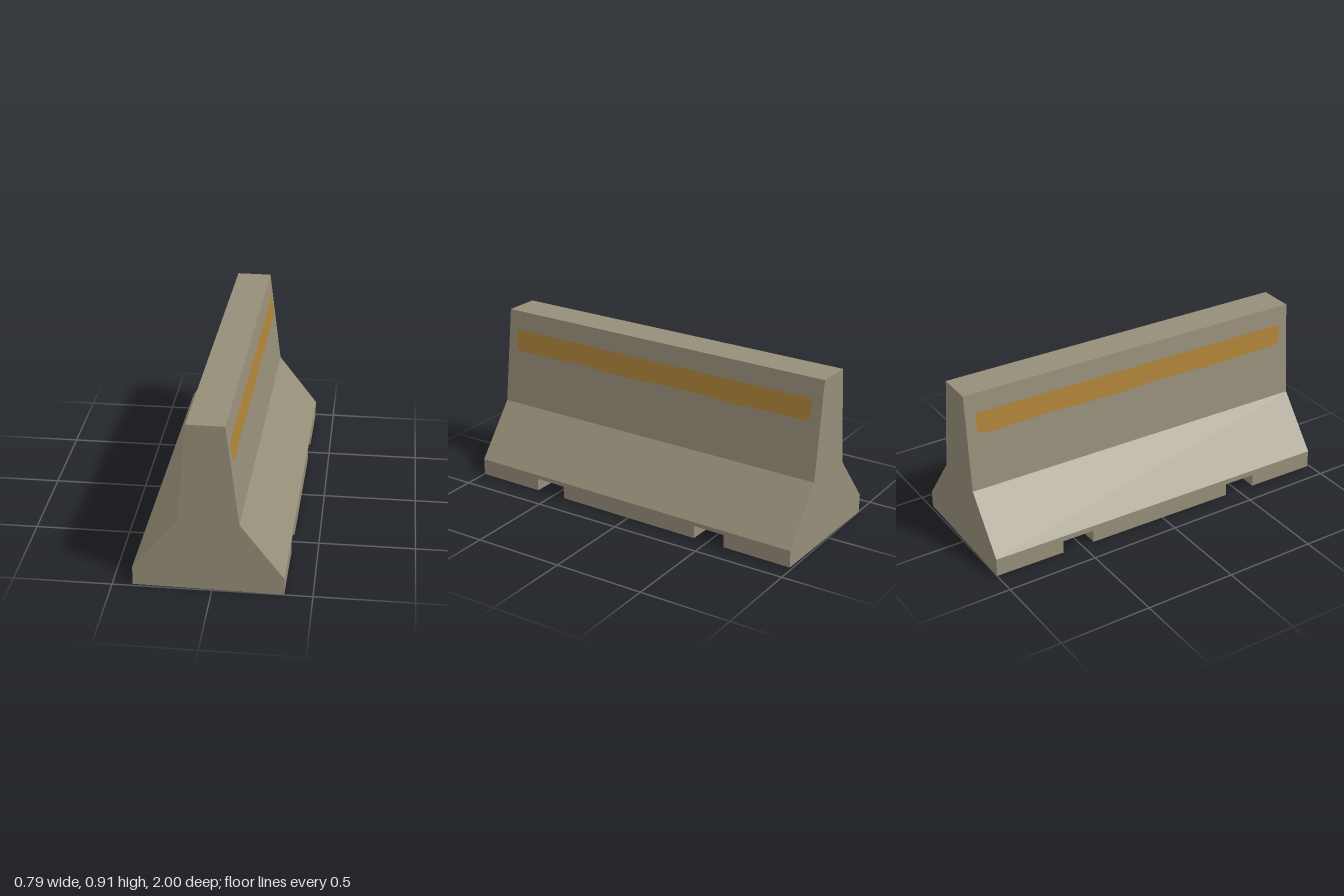
import * as THREE from 'three';

const HALF = 0.993;              // half the barrier's length
const TOP = 0.907, WAIST = 0.38; // heights
const NOTCH = { near: 0.425, far: 0.605, height: 0.07 };

// Half profiles for each flank: outer x at base, waist and top
const FLANKS = [
  { side: 1, base: 0.375, baseY: 0.092, waist: 0.153, top: 0.086 },
  { side: -1, base: 0.381, baseY: 0.1, waist: 0.151, top: 0.104 },
];

const polygon = (pts) => new THREE.Shape(pts.map(([x, y]) => new THREE.Vector2(x, y)));
const band = (y0, y1) => polygon([[-HALF, y0], [HALF, y0], [HALF, y1], [-HALF, y1]]);

// Lays a flat (length, height) shape against a flank; xAt gives its distance from the middle
function flankSheet(shape, side, xAt) {
  const geo = new THREE.ShapeGeometry(shape, 8);
  const p = geo.attributes.position;
  for (let i = 0; i < p.count; i++) {
    const u = p.getX(i), y = p.getY(i);
    p.setXYZ(i, side * xAt(y), y, -side * u);
  }
  geo.computeVertexNormals();
  return geo;
}

// Vertical skirt with two forklift notches cut in its lower edge
function skirtShape(height) {
  const { near, far, height: h } = NOTCH;
  return polygon([
    [-HALF, 0], [-far, 0], [-far, h], [-near, h], [-near, 0],
    [near, 0], [near, h], [far, h], [far, 0],
    [HALF, 0], [HALF, height], [-HALF, height],
  ]);
}

// Painted stripe with rounded ends and a slightly uneven lower edge
function stripeShape() {
  const s = new THREE.Shape();
  const e = 0.937, y0 = 0.684, y1 = 0.802;
  s.moveTo(-e, y1 - 0.012);
  s.lineTo(-e, y0 + 0.045);
  s.quadraticCurveTo(-e, y0, -e + 0.045, y0);
  for (let i = 1; i < 24; i++) {
    const u = -e + 0.045 + (i / 24) * (2 * e - 0.09);
    s.lineTo(u, y0 + 0.004 * Math.sin(u * 9) + 0.002 * Math.sin(u * 23));
  }
  s.lineTo(e - 0.045, y0);
  s.quadraticCurveTo(e, y0, e, y0 + 0.045);
  s.lineTo(e, y1 - 0.012);
  s.quadraticCurveTo(e, y1, e - 0.012, y1);
  s.lineTo(-e + 0.012, y1);
  s.quadraticCurveTo(-e, y1, -e, y1 - 0.012);
  return s;
}

export function createModel() {
  const concrete = new THREE.MeshStandardMaterial({ color: 0x968e79, side: THREE.DoubleSide });
  concrete.name = 'concrete';
  const paint = new THREE.MeshStandardMaterial({ color: 0xae8339, side: THREE.DoubleSide });
  paint.name = 'ochrePaint';

  const barrier = new THREE.Group();
  barrier.name = 'barrier';
  const add = (name, geo, mat = concrete) => {
    const mesh = new THREE.Mesh(geo, mat);
    mesh.name = name;
    barrier.add(mesh);
    return mesh;
  };

  // Flanks: skirt, slope, upper wall and painted stripe
  for (const f of FLANKS) {
    const label = f.side > 0 ? 'left' : 'right';
    const slopeX = (y) => THREE.MathUtils.mapLinear(y, f.baseY, WAIST, f.base, f.waist);
    const wallX = (y) => THREE.MathUtils.mapLinear(y, WAIST, TOP, f.waist, f.top);
    add(label + 'Skirt', flankSheet(skirtShape(f.baseY), f.side, () => f.base));
    add(label + 'Slope', flankSheet(band(f.baseY, WAIST), f.side, slopeX));
    add(label + 'Wall', flankSheet(band(WAIST, TOP), f.side, wallX));
    add(label + 'Stripe', flankSheet(stripeShape(), f.side, (y) => wallX(y) + 0.002), paint);
  }

  // End walls
  const [l, r] = FLANKS;
  const profile = polygon([
    [-r.base, 0], [l.base, 0], [l.base, l.baseY], [l.waist, WAIST], [l.top, TOP],
    [-r.top, TOP], [-r.waist, WAIST], [-r.base, r.baseY],
  ]);
  add('frontEnd', new THREE.ShapeGeometry(profile).translate(0, 0, HALF));
  const back = new THREE.ShapeGeometry(profile).translate(0, 0, -HALF);
  back.index.array.reverse();
  back.computeVertexNormals();
  add('backEnd', back);

  // Flat top
  const cap = new THREE.PlaneGeometry(l.top + r.top, 2 * HALF).rotateX(-Math.PI / 2);
  add('topFace', cap.translate((l.top - r.top) / 2, TOP, 0));

  // Forklift channels across the open underside: a roof and two side walls each
  const width = l.base + r.base, midX = (l.base - r.base) / 2;
  const { near, far, height } = NOTCH;
  for (const s of [1, -1]) {
    const label = s > 0 ? 'front' : 'back';
    const roof = new THREE.PlaneGeometry(width, far - near).rotateX(Math.PI / 2);
    add(label + 'ChannelRoof', roof.translate(midX, height, s * (near + far) / 2));
    for (const z of [near, far]) {
      const wall = new THREE.PlaneGeometry(width, height);
      add(label + 'ChannelWall', wall.translate(midX, height / 2, s * z));
    }
  }

  // The barrier stands slightly askew
  barrier.rotation.y = -0.017;
  const model = new THREE.Group();
  model.name = 'roadBarrier';
  model.add(barrier);
  return model;
}
